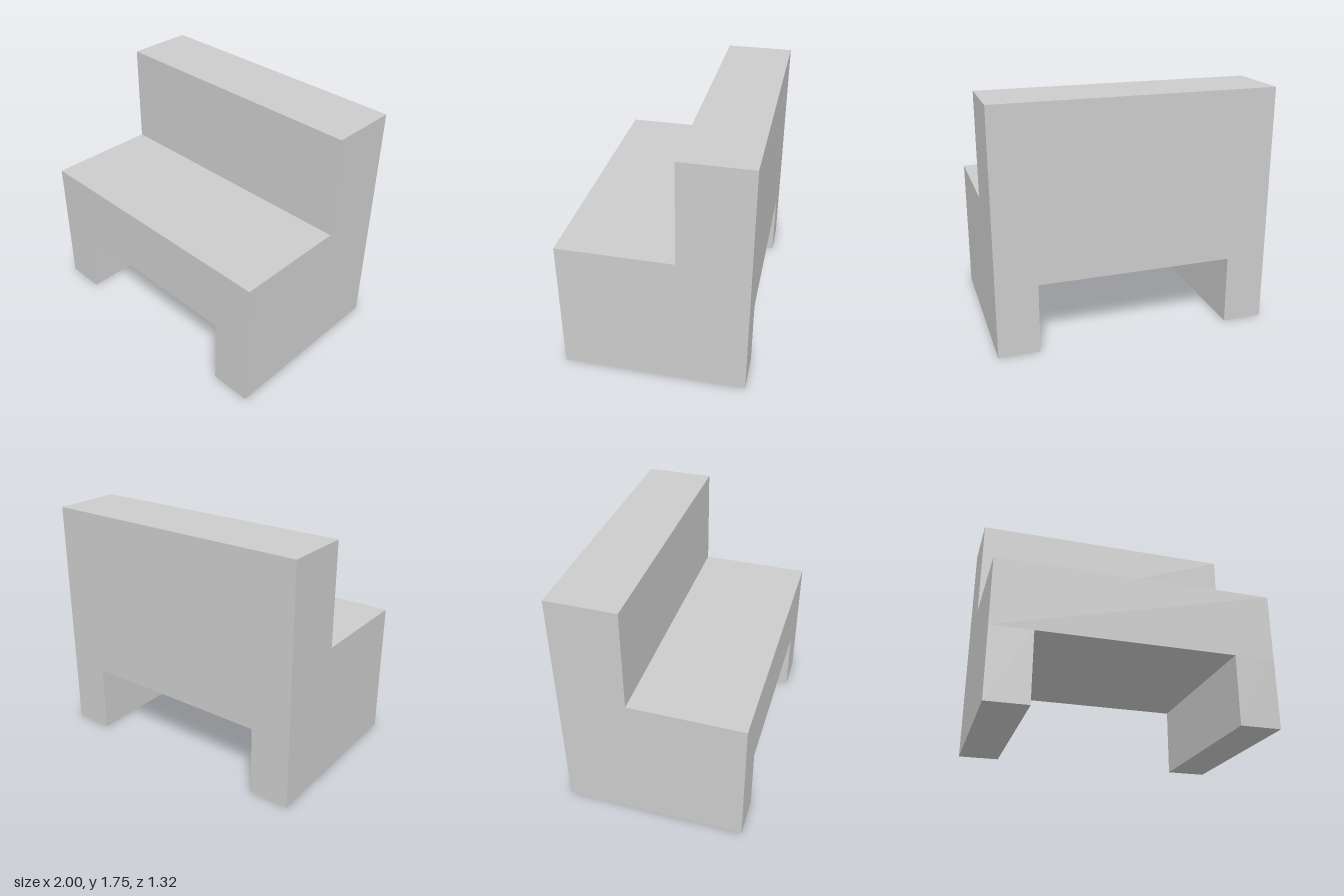
import * as THREE from 'three';

const WIDTH = 2, HALF_DEPTH = 0.66, BACK_FRONT = -0.165;
const SEAT_TOP = 1, SEAT_BOTTOM = 0.505, HEIGHT = 1.75;
const LEG_WIDTH = 0.295;

export function createModel() {
  const bench = new THREE.Group();
  bench.name = 'bench';
  const material = new THREE.MeshStandardMaterial({ color: 0xcccccc, flatShading: true });

  // Seat and backrest: one L-shaped side profile (z, y) extruded across the width
  const profile = new THREE.Shape([
    [-HALF_DEPTH, SEAT_BOTTOM], [HALF_DEPTH, SEAT_BOTTOM], [HALF_DEPTH, SEAT_TOP],
    [BACK_FRONT, SEAT_TOP], [BACK_FRONT, HEIGHT], [-HALF_DEPTH, HEIGHT],
  ].map(([z, y]) => new THREE.Vector2(z, y)));
  const bodyGeometry = new THREE.ExtrudeGeometry(profile, { depth: WIDTH, bevelEnabled: false });
  bodyGeometry.translate(0, 0, -WIDTH / 2).rotateY(-Math.PI / 2);
  const body = new THREE.Mesh(bodyGeometry, material);
  body.name = 'seatAndBackrest';
  bench.add(body);

  // Full-depth slab legs, flush with the sides
  const legGeometry = new THREE.BoxGeometry(LEG_WIDTH, SEAT_BOTTOM, HALF_DEPTH * 2);
  for (const [name, side] of [['leftLeg', 1], ['rightLeg', -1]]) {
    const leg = new THREE.Mesh(legGeometry, material);
    leg.name = name;
    leg.position.set(side * (WIDTH - LEG_WIDTH) / 2, SEAT_BOTTOM / 2, 0);
    bench.add(leg);
  }

  return bench;
}
